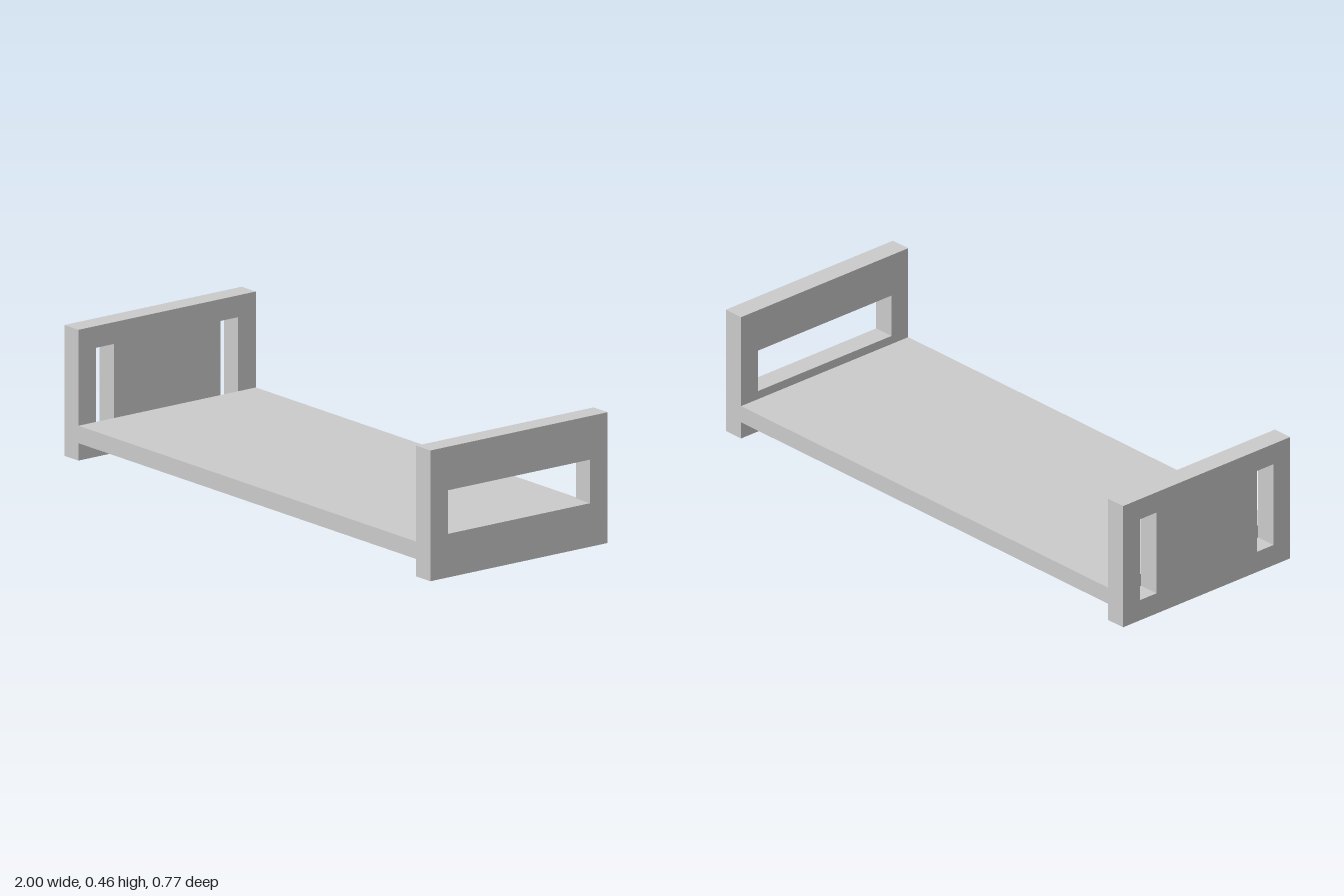
import * as THREE from 'three';

const U = 1 / 13; // panel thickness, the module all sizes follow
const material = new THREE.MeshStandardMaterial({ color: 0xcccccc, flatShading: true });

function rectangle(target, x0, y0, x1, y1) {
  return target.moveTo(x0 * U, y0 * U).lineTo(x1 * U, y0 * U)
    .lineTo(x1 * U, y1 * U).lineTo(x0 * U, y1 * U).closePath();
}

// Upright end panel with rectangular openings, standing across x
function endPanel(name, x, openings) {
  const shape = rectangle(new THREE.Shape(), -5, 0, 5, 6);
  for (const o of openings) shape.holes.push(rectangle(new THREE.Path(), ...o));
  const geometry = new THREE.ExtrudeGeometry(shape, { depth: U, bevelEnabled: false });
  geometry.rotateY(Math.PI / 2);
  const mesh = new THREE.Mesh(geometry, material);
  mesh.name = name;
  mesh.position.x = x;
  return mesh;
}

export function createModel() {
  const group = new THREE.Group();
  group.name = 'bed';

  // Flat base board between the end panels
  const board = new THREE.Mesh(new THREE.BoxGeometry(24 * U, 0.8 * U, 10 * U), material);
  board.name = 'baseBoard';
  board.position.y = 1.2 * U;
  group.add(board);

  // Left end: one wide window; right end: two tall slots
  group.add(endPanel('leftEndPanel', 12 * U, [[-4, 2, 4, 4]]));
  group.add(endPanel('rightEndPanel', -13 * U, [[-4, 1, -3, 5], [3, 1, 4, 5]]));
  return group;
}
